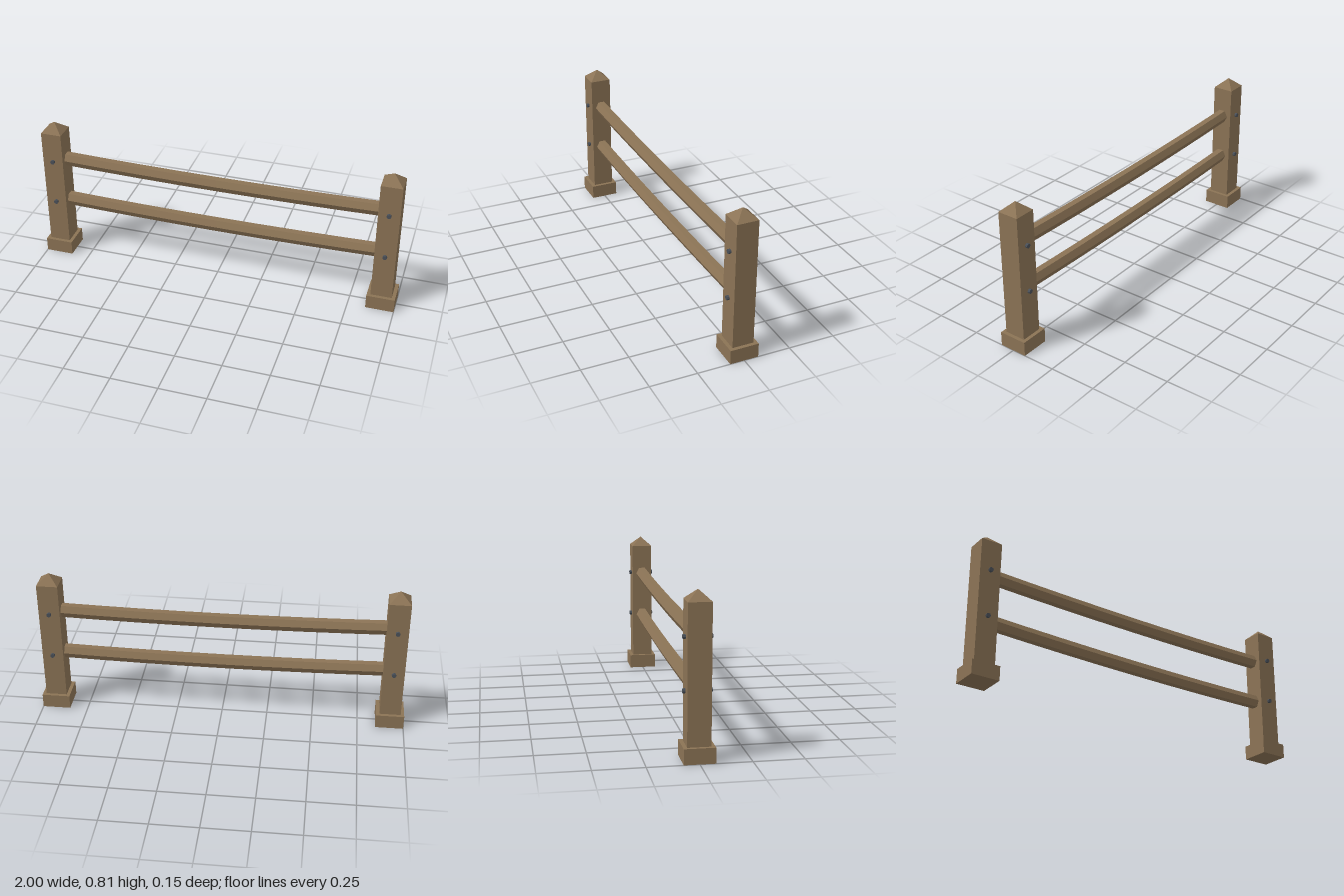
import * as THREE from 'three';

const wood = new THREE.MeshStandardMaterial({ color: 0x8b7355 });
wood.name = 'wood';
const iron = new THREE.MeshStandardMaterial({ color: 0x4a5058 });
iron.name = 'iron';

const POST_X = 0.924, POST_W = 0.114, BASE_W = 0.152;
const BASE_H = 0.077, POST_TOP = 0.755, PEAK = 0.806;
const RAIL_Y = [0.333, 0.588], SAG = 0.013;

function part(name, geometry, material, x, y, z) {
  const flat = geometry.toNonIndexed();
  flat.computeVertexNormals(); // faceted look
  const mesh = new THREE.Mesh(flat, material);
  mesh.name = name;
  mesh.position.set(x, y, z);
  return mesh;
}

// Square post with a plinth, a pyramid cap and bolts through it
function makePost(x) {
  const post = new THREE.Group();
  post.name = x > 0 ? 'leftPost' : 'rightPost';
  post.position.x = x;
  post.add(part('plinth', new THREE.BoxGeometry(BASE_W, BASE_H, BASE_W), wood, 0, BASE_H / 2, 0));
  const h = POST_TOP - BASE_H;
  post.add(part('shaft', new THREE.BoxGeometry(POST_W, h, POST_W), wood, 0, BASE_H + h / 2, 0));
  const cap = new THREE.ConeGeometry(POST_W * Math.SQRT1_2, PEAK - POST_TOP, 4, 1).rotateY(Math.PI / 4);
  post.add(part('cap', cap, wood, 0, (PEAK + POST_TOP) / 2, 0));
  for (const y of RAIL_Y) {
    const bolt = new THREE.CylinderGeometry(0.012, 0.012, 0.14, 8).rotateX(Math.PI / 2);
    post.add(part('bolt', bolt, iron, 0, y, 0));
  }
  return post;
}

// Six-sided rail, flat on top, sagging towards the middle
function makeRail(y) {
  const half = POST_X - 0.03;
  const g = new THREE.CylinderGeometry(0.036, 0.036, half * 2, 6, 8).rotateZ(Math.PI / 2);
  g.scale(1, 1.09, 0.96);
  const p = g.attributes.position;
  for (let i = 0; i < p.count; i++) {
    const t = p.getX(i) / half;
    p.setY(i, p.getY(i) - SAG * (1 - t * t));
  }
  return part('rail', g, wood, 0, y, 0);
}

export function createModel() {
  const fence = new THREE.Group();
  fence.name = 'fence';
  for (const side of [-1, 1]) fence.add(makePost(side * POST_X));
  for (const y of RAIL_Y) fence.add(makeRail(y));
  return fence;
}
